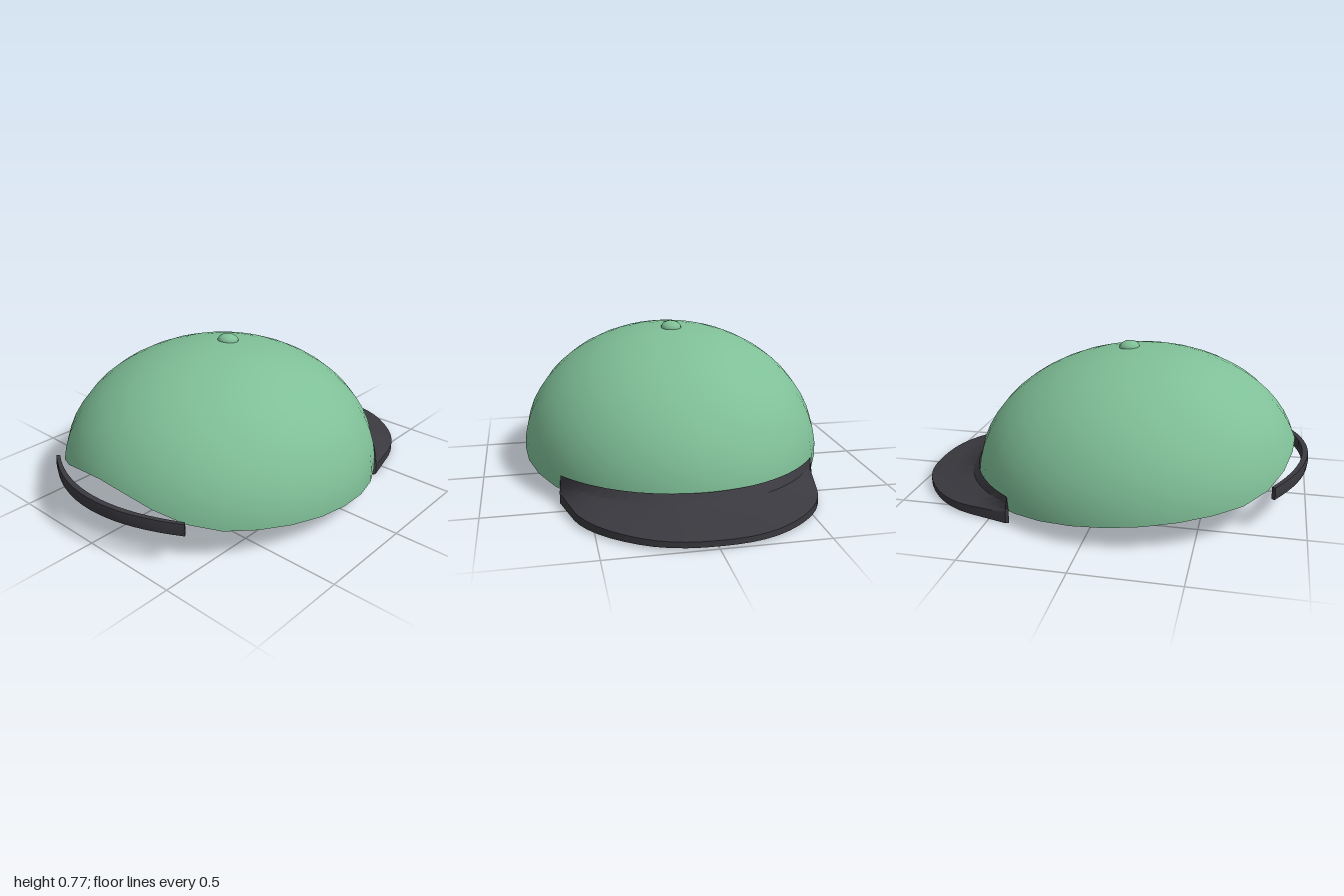
import * as THREE from 'three';
import { toCreasedNormals } from 'three/addons/utils/BufferGeometryUtils.js';

const TILT = -0.095;
const RADII = new THREE.Vector3(0.78, 0.63, 0.842);
const CENTRE = new THREE.Vector3(0, 0.11, 0.115);

// Point on the tilted dome; angle is measured from the brim direction (-z)
function domePoint(angle, elevation) {
  const c = Math.cos(elevation);
  return new THREE.Vector3(Math.sin(angle) * c, Math.sin(elevation), -Math.cos(angle) * c)
    .multiply(RADII)
    .applyAxisAngle(new THREE.Vector3(1, 0, 0), TILT)
    .add(CENTRE);
}

// Solid through rings of points, ordered from -x to +x, with closed ends
function loft(rings) {
  const n = rings[0].length;
  const index = [];
  for (let i = 0; i < rings.length - 1; i++) {
    for (let j = 0; j < n; j++) {
      const a = i * n + j;
      const b = i * n + (j + 1) % n;
      index.push(a, b, a + n, b, b + n, a + n);
    }
  }
  const last = (rings.length - 1) * n;
  for (let j = 1; j < n - 1; j++) {
    index.push(0, j + 1, j, last, last + j, last + j + 1);
  }
  const geo = new THREE.BufferGeometry();
  geo.setAttribute('position', new THREE.Float32BufferAttribute(rings.flat(2), 3));
  geo.setIndex(index);
  return toCreasedNormals(geo, 0.6);
}

// Open half ellipsoid with an arched cutout above the strap
function domeGeometry() {
  const geo = new THREE.SphereGeometry(1, 32, 14, 0, Math.PI * 2, 0, Math.PI / 2);
  const pos = geo.attributes.position;
  for (let i = 0; i < pos.count; i++) {
    const angle = Math.atan2(pos.getX(i), pos.getZ(i));
    const t = Math.asin(Math.min(1, Math.max(0, pos.getY(i)))) / (Math.PI / 2);
    const f = Math.min(1, Math.abs(angle) / 0.83);
    const low = Math.asin(0.19 * Math.cos(f * Math.PI / 2) ** 2);
    const e = low + (Math.PI / 2 - low) * t;
    pos.setXYZ(i, Math.sin(angle) * Math.cos(e), Math.sin(e), Math.cos(angle) * Math.cos(e));
    geo.attributes.normal.setXYZ(i, pos.getX(i), pos.getY(i), pos.getZ(i));
  }
  geo.scale(RADII.x, RADII.y, RADII.z);
  geo.rotateX(TILT);
  geo.translate(CENTRE.x, CENTRE.y, CENTRE.z);
  return geo;
}

// Crescent brim: tall where it meets the dome, thin at its outer edge
function brimGeometry() {
  const half = [[0.63, -0.405], [0.595, -0.55], [0.56, -0.67], [0.49, -0.78],
    [0.39, -0.875], [0.27, -0.95], [0.14, -0.99]];
  const points = [
    ...half.map(([x, z]) => new THREE.Vector2(-x, z)),
    new THREE.Vector2(0, -1),
    ...half.slice().reverse().map(([x, z]) => new THREE.Vector2(x, z)),
  ];
  const outline = new THREE.SplineCurve(points);
  const rings = [];
  const steps = 28;
  for (let i = 0; i <= steps; i++) {
    const s = i / steps * 2 - 1;
    const angle = s * 0.925;
    const out = outline.getPoint(i / steps);
    const top = domePoint(angle, Math.asin((0.027 + 0.08 * Math.cos(angle)) / RADII.y));
    const rim = domePoint(angle, 0);
    const k = 1.006;
    const bottomY = 0.013 * (1 - s * s);
    const outerY = 0.04 + 0.015 * s * s;
    const mid = (t, y) => [
      THREE.MathUtils.lerp(rim.x, out.x, t), y, THREE.MathUtils.lerp(rim.z, out.y, t)];
    rings.push([
      [out.x, outerY, out.y],
      mid(0.55, 0.068),
      mid(0.14, 0.098),
      [top.x * k, top.y, top.z * k],
      [rim.x, rim.y, rim.z],
      [rim.x, bottomY, rim.z],
      [out.x, bottomY, out.y],
    ]);
  }
  return loft(rings);
}

// Curved strap closing the cutout
function strapGeometry() {
  const rings = [];
  const steps = 18;
  for (let i = 0; i <= steps; i++) {
    const s = i / steps * 2 - 1;
    const x = 0.455 * s;
    const z = 1 - 0.155 * s * s;
    const y = 0.18 - 0.014 * s * s;
    const depth = 0.032 - 0.014 * s * s;
    const inX = x * 0.975;
    rings.push([
      [inX, y + 0.06, z - depth],
      [x, y + 0.06, z - 0.004],
      [x, y + 0.03, z],
      [x, y, z - 0.004],
      [inX, y, z - depth],
    ]);
  }
  return loft(rings);
}

export function createModel() {
  const green = new THREE.MeshStandardMaterial({ color: 0x7fbf97, side: THREE.DoubleSide });
  green.name = 'soft green';
  const charcoal = new THREE.MeshStandardMaterial({ color: 0x3a393f });
  charcoal.name = 'charcoal';

  const cap = new THREE.Group();
  cap.name = 'cap';
  const add = (name, geo, material) => {
    const mesh = new THREE.Mesh(geo, material);
    mesh.name = name;
    cap.add(mesh);
    return mesh;
  };

  add('crown', domeGeometry(), green);
  add('brim', brimGeometry(), charcoal);
  add('strap', strapGeometry(), charcoal);

  // Flattened button on the crown
  const button = add('button', new THREE.SphereGeometry(0.053, 16, 12), green);
  button.scale.y = 0.64;
  button.position.set(0, 0.736, 0.07);
  button.rotation.x = TILT;

  return cap;
}
